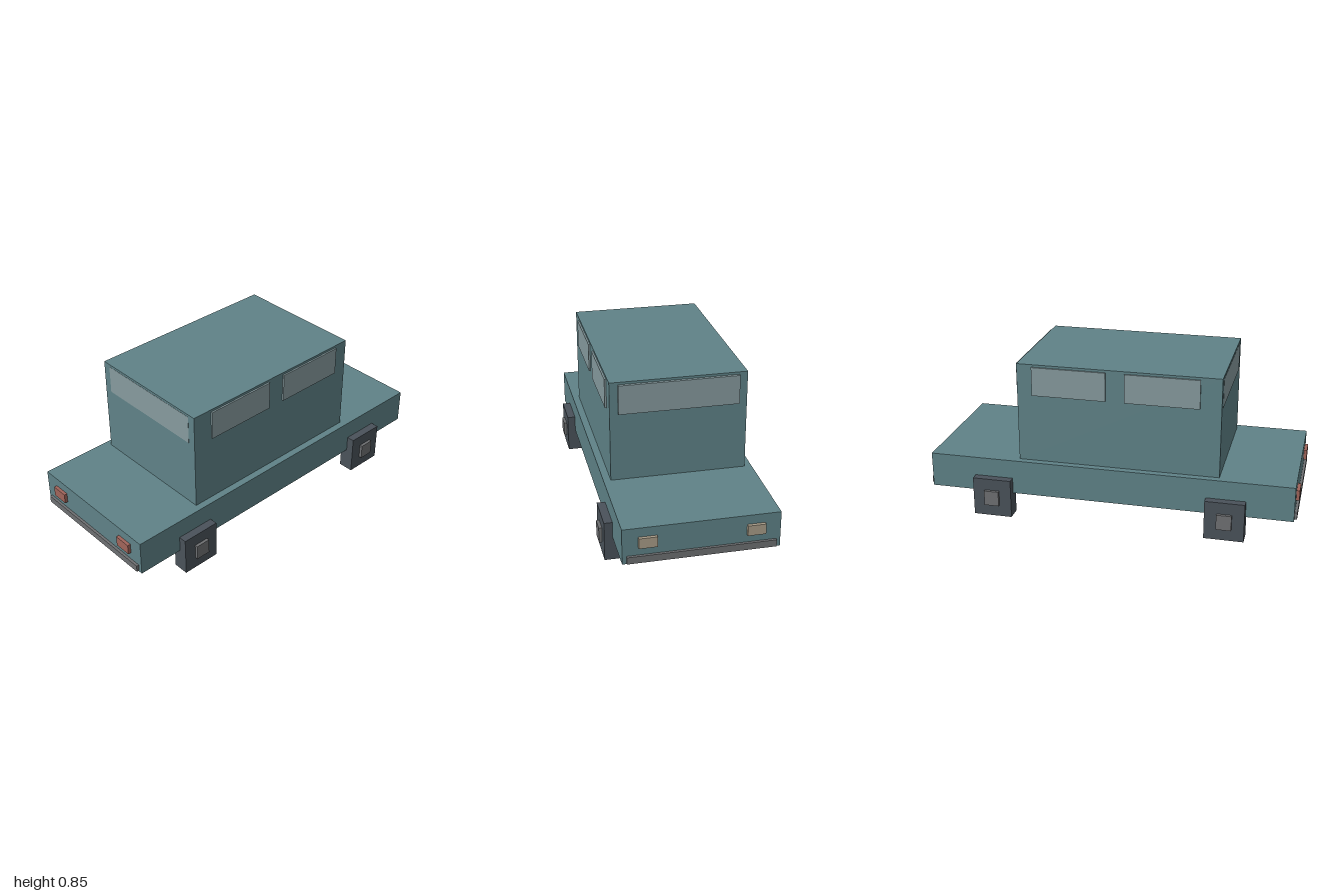
import * as THREE from 'three';

const mat = (color) => new THREE.MeshStandardMaterial({ color });

export function createModel() {
  const car = new THREE.Group();
  car.name = 'car';
  const paint = mat(0x5f8287), glass = mat(0x869a9e), rubber = mat(0x4a525a);
  const metal = mat(0x6e7072), red = mat(0xa0645a), cream = mat(0xa89c88);

  // Box given by its [min, max] extents on each axis
  const box = (name, material, [x0, x1], [y0, y1], [z0, z1]) => {
    const mesh = new THREE.Mesh(new THREE.BoxGeometry(x1 - x0, y1 - y0, z1 - z0), material);
    mesh.position.set((x0 + x1) / 2, (y0 + y1) / 2, (z0 + z1) / 2);
    mesh.name = name;
    car.add(mesh);
  };
  // Extent from a to b, flipped to the negative side when s is -1
  const side = (s, a, b) => (s > 0 ? [a, b] : [-b, -a]);

  // Body and cabin
  box('body', paint, [-0.393, 0.393], [0.125, 0.315], [-0.983, 0.983]);
  box('cabin', paint, [-0.355, 0.355], [0.315, 0.853], [-0.492, 0.588]);

  // Windscreen, almost flush, and the raised rear window
  const glassY = [0.685, 0.84];
  box('windscreen', glass, [-0.312, 0.312], glassY, [0.572, 0.589]);
  box('rearWindow', glass, [-0.312, 0.312], glassY, [-0.508, -0.48]);

  for (const s of [1, -1]) {
    const label = s > 0 ? 'left' : 'right';
    // Side windows
    box(label + 'FrontWindow', glass, side(s, 0.345, 0.364), glassY, [0.085, 0.478]);
    box(label + 'BackWindow', glass, side(s, 0.345, 0.364), glassY, [-0.41, -0.015]);

    // Lights at both ends
    box(label + 'FrontLight', red, side(s, 0.222, 0.314), [0.211, 0.266], [0.97, 1]);
    box(label + 'BackLight', cream, side(s, 0.222, 0.314), [0.211, 0.266], [-1, -0.97]);

    // Square wheels with hubs
    for (const e of [1, -1]) {
      const end = e > 0 ? 'Front' : 'Back';
      box(label + end + 'Wheel', rubber, side(s, 0.352, 0.436), [0, 0.212], side(e, 0.525, 0.735));
      box(label + end + 'Hub', metal, side(s, 0.42, 0.452), [0.065, 0.148], side(e, 0.59, 0.67));
    }
  }

  // Bumpers
  for (const e of [1, -1]) {
    box(e > 0 ? 'frontBumper' : 'backBumper', metal, [-0.372, 0.372], [0.131, 0.168], side(e, 0.97, 0.997));
  }
  return car;
}
